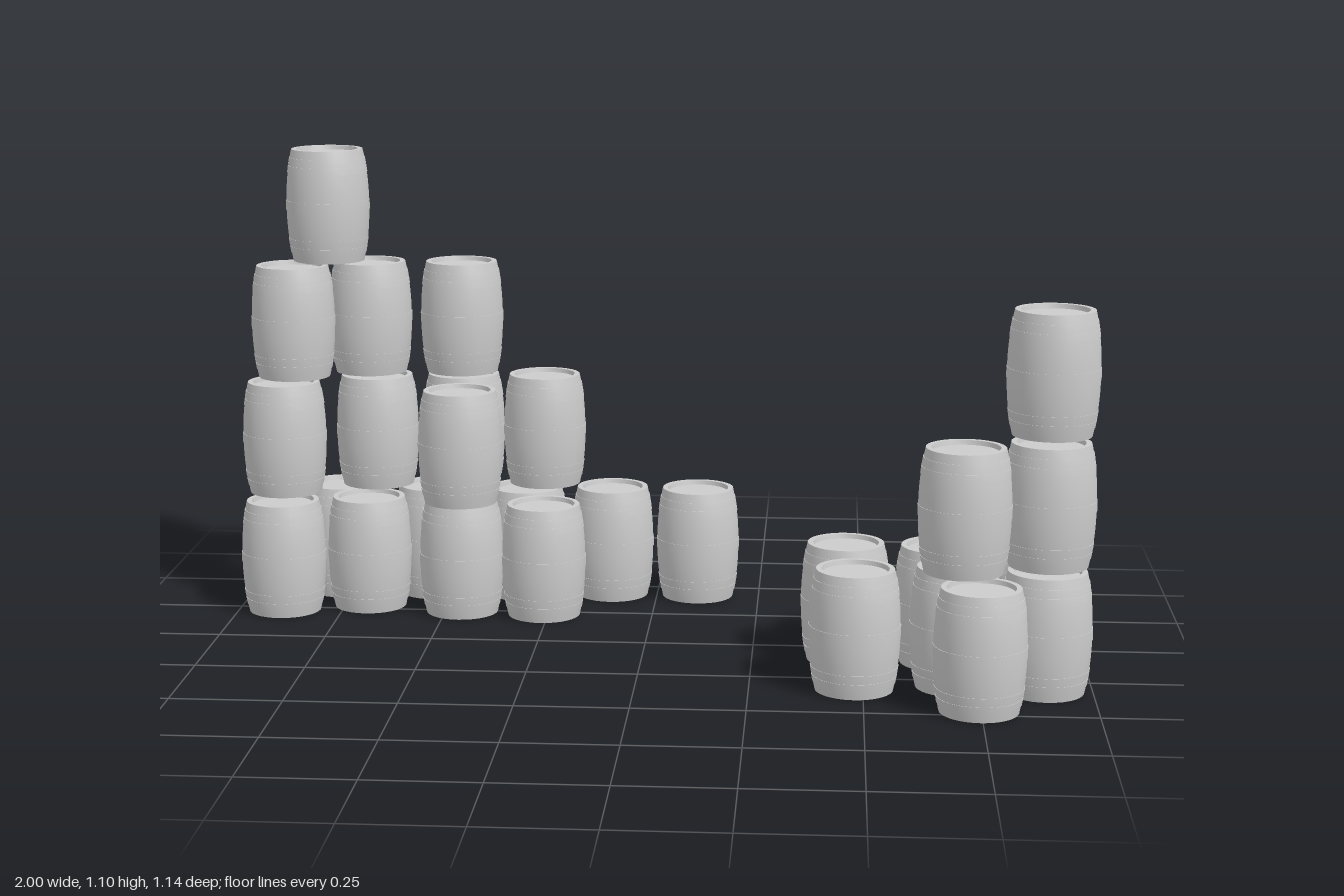
import * as THREE from 'three';
import { toCreasedNormals } from 'three/addons/utils/BufferGeometryUtils.js';

const H = 0.272, R_MID = 0.1, R_END = 0.086;

// Radius of the bulging staves at height y
const bulge = (y) => {
  const t = (2 * y) / H - 1;
  return R_MID - (R_MID - R_END) * Math.pow(Math.abs(t), 2.2);
};

// Closed barrel: flat base, bulging wall with slim raised hoops, recessed lid
function barrelGeometry() {
  const pts = [new THREE.Vector2(0, 0)];
  const add = (r, y) => pts.push(new THREE.Vector2(r, y));
  const hoop = 0.0012;
  const hoops = [[0.02, 0.036], [0.04, 0.056], [0.124, 0.148], [H - 0.056, H - 0.04], [H - 0.036, H - 0.02]];
  add(bulge(0), 0);
  let last = 0;
  const wallTo = (y) => {
    const n = Math.max(1, Math.round((y - last) / 0.022));
    for (let i = 1; i <= n; i++) {
      const h = last + ((y - last) * i) / n;
      add(bulge(h), h);
    }
    last = y;
  };
  for (const [a, b] of hoops) {
    wallTo(a);
    add(bulge(a) + hoop, a);
    add(bulge(b) + hoop, b);
    add(bulge(b), b);
    last = b;
  }
  wallTo(H);
  // rim and sunken lid
  add(0.074, H);
  add(0.072, H - 0.01);
  add(0, H - 0.01);
  return toCreasedNormals(new THREE.LatheGeometry(pts, 32), 0.6);
}

// Each tier: base height and [x, z] barrel centres
const STACKS = {
  leftFieldStack: [],
  largeStack: [
    { y: 0, at: [[-0.89, -0.235], [-0.69, -0.29], [-0.46, -0.25], [-0.26, -0.235], [-0.11, -0.435],
      [0.1, -0.435], [-0.32, -0.42], [-0.55, -0.43], [-0.78, -0.432]] },
    { y: 0.272, at: [[-0.9, -0.33], [-0.69, -0.44], [-0.48, -0.472], [-0.46, -0.245], [-0.28, -0.472]] },
    { y: 0.55, at: [[-0.88, -0.37], [-0.705, -0.455], [-0.482, -0.47]] },
    { y: 0.823, at: [[-0.805, -0.455]] },
  ],
  smallStack: [
    { y: 0, at: [[0.46, 0.092], [0.67, 0.103], [0.87, 0.115], [0.48, 0.325], [0.7, 0.29],
      [0.745, 0.467], [0.895, 0.315]] },
    { y: 0.285, at: [[0.71, 0.385], [0.895, 0.318]] },
    { y: 0.573, at: [[0.895, 0.318]] },
  ],
};
delete STACKS.leftFieldStack;

export function createModel() {
  const model = new THREE.Group();
  model.name = 'barrelStacks';
  const geometry = barrelGeometry();
  const material = new THREE.MeshStandardMaterial({ color: 0xcccccc });
  for (const [name, tiers] of Object.entries(STACKS)) {
    const stack = new THREE.Group();
    stack.name = name;
    tiers.forEach(({ y, at }, i) => {
      const tier = new THREE.Group();
      tier.name = `tier${i + 1}`;
      for (const [x, z] of at) {
        const barrel = new THREE.Mesh(geometry, material);
        barrel.name = 'barrel';
        barrel.position.set(x, y, z);
        tier.add(barrel);
      }
      stack.add(tier);
    });
    model.add(stack);
  }
  return model;
}
